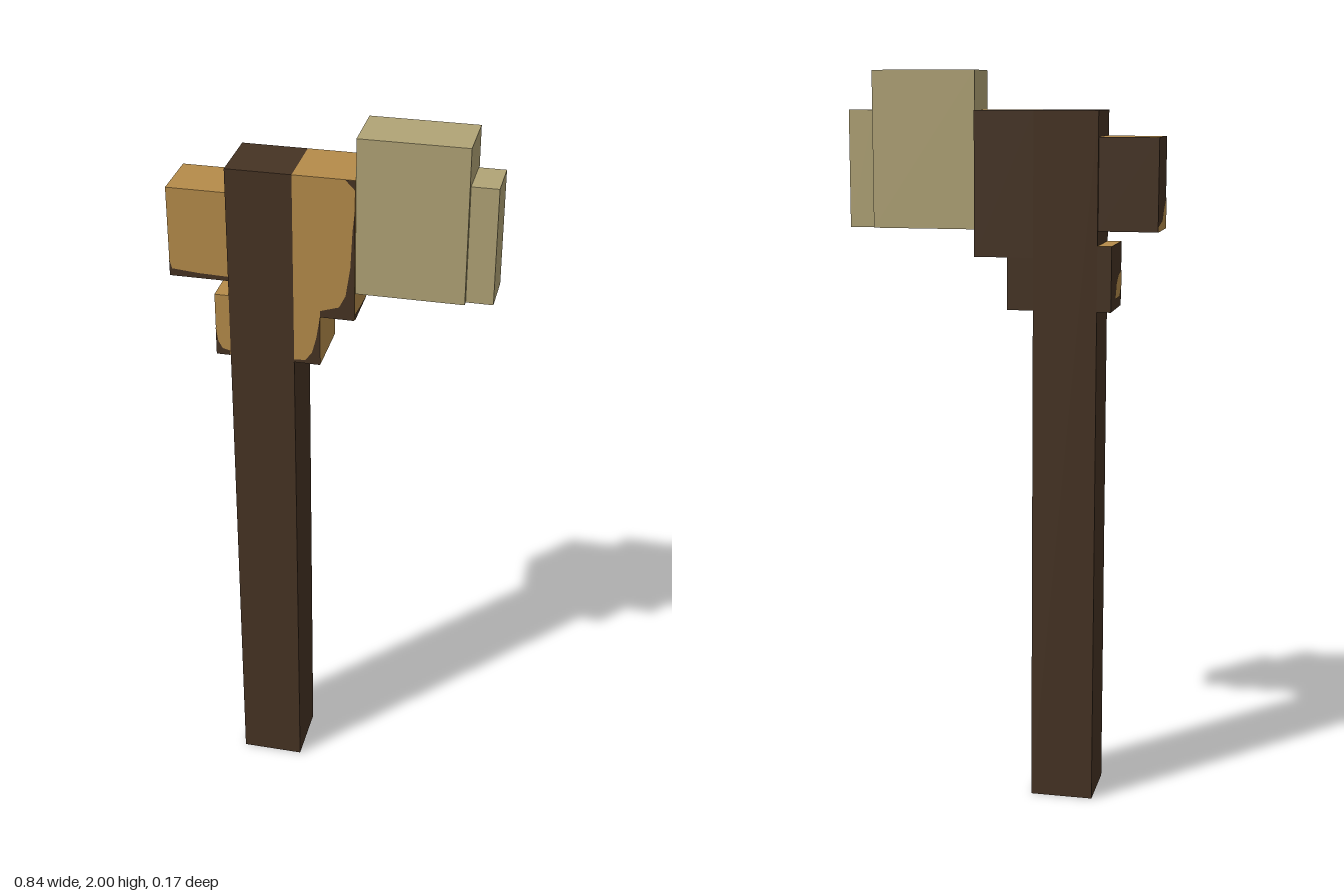
import * as THREE from 'three';

export function createModel() {
  const model = new THREE.Group();
  const mat = (name, color) => {
    const m = new THREE.MeshStandardMaterial({ color });
    m.name = name;
    return m;
  };
  const wood = mat('dark wood', 0x463323);
  const gold = mat('golden binding', 0xb58b4a);
  const stone = mat('pale blade', 0xb1a476);

  // Box from its x and y limits and half depth
  const box = (name, x0, x1, y0, y1, halfZ, material) => {
    const mesh = new THREE.Mesh(new THREE.BoxGeometry(x1 - x0, y1 - y0, halfZ * 2), material);
    mesh.position.set((x0 + x1) / 2, (y0 + y1) / 2, 0);
    mesh.name = name;
    model.add(mesh);
  };
  // Flat dark stain drawn on a face
  const stain = (name, points, material = wood) => {
    const shape = new THREE.Shape(points.map(([x, y]) => new THREE.Vector2(x, y)));
    const mesh = new THREE.Mesh(new THREE.ShapeGeometry(shape), material);
    mesh.name = name;
    model.add(mesh);
    return mesh;
  };

  // Face order: +x, -x, +y, -y, +z, -z
  const bound = [gold, wood, gold, wood, gold, wood];

  // Handle, blade and cutting edge
  box('handle', -0.262, -0.09, 0, 1.896, 0.086, wood);
  box('blade', 0.07, 0.35, 1.584, 2, 0.077, stone);
  box('bladeEdge', 0.35, 0.42, 1.584, 1.896, 0.061, stone);

  // Binding blocks around the handle
  box('headBlock', -0.09, 0.07, 1.512, 1.896, 0.086, bound);
  box('buttBlock', -0.42, -0.262, 1.584, 1.828, 0.077, bound);
  box('lowerBlockFront', -0.09, -0.02, 1.372, 1.512, 0.086, bound);
  box('lowerBlockRear', -0.3, -0.262, 1.372, 1.546, 0.086, bound);

  // Worn dark corners on the front faces
  const frontStains = [
    ['headStain', 0.0875, [[-0.02, 1.512], [0.07, 1.512], [0.07, 1.82], [0.064, 1.76],
      [0.059, 1.66], [0.047, 1.58], [0.03, 1.546], [-0.02, 1.53]]],
    ['headTopStain', 0.0875, [[0.07, 1.87], [0.07, 1.896], [0.045, 1.896]]],
    ['lowerFrontStain', 0.0875, [[-0.09, 1.372], [-0.02, 1.372], [-0.02, 1.512],
      [-0.03, 1.45], [-0.042, 1.405], [-0.06, 1.382], [-0.09, 1.38]]],
    ['lowerRearStain', 0.0875, [[-0.3, 1.372], [-0.262, 1.372], [-0.262, 1.385],
      [-0.283, 1.39], [-0.294, 1.41], [-0.3, 1.45]]],
    ['buttStain', 0.0785, [[-0.42, 1.584], [-0.262, 1.584], [-0.262, 1.596],
      [-0.34, 1.598], [-0.413, 1.604], [-0.42, 1.63]]],
  ];
  for (const [name, z, points] of frontStains) stain(name, points).position.z = z;

  // Stain under the blade (drawn with first coordinate = -z)
  const side = stain('headSideStain', [[-0.086, 1.512], [0.08, 1.512], [-0.03, 1.522], [-0.086, 1.53]]);
  side.rotation.y = Math.PI / 2;
  side.position.x = 0.0715;

  // Golden patches on the rear ends (drawn with first coordinate = z)
  const rearPatches = [
    ['buttPatch', -0.4215, [[-0.077, 1.584], [0.077, 1.584], [0.077, 1.67], [0.03, 1.64], [0, 1.61], [-0.077, 1.6]]],
    ['lowerPatch', -0.3015, [[-0.02, 1.4], [0.06, 1.4], [0.086, 1.43], [0.086, 1.47], [0.03, 1.46], [0, 1.44]]],
  ];
  for (const [name, x, points] of rearPatches) {
    const patch = stain(name, points, gold);
    patch.rotation.y = -Math.PI / 2;
    patch.position.x = x;
  }
  return model;
}
